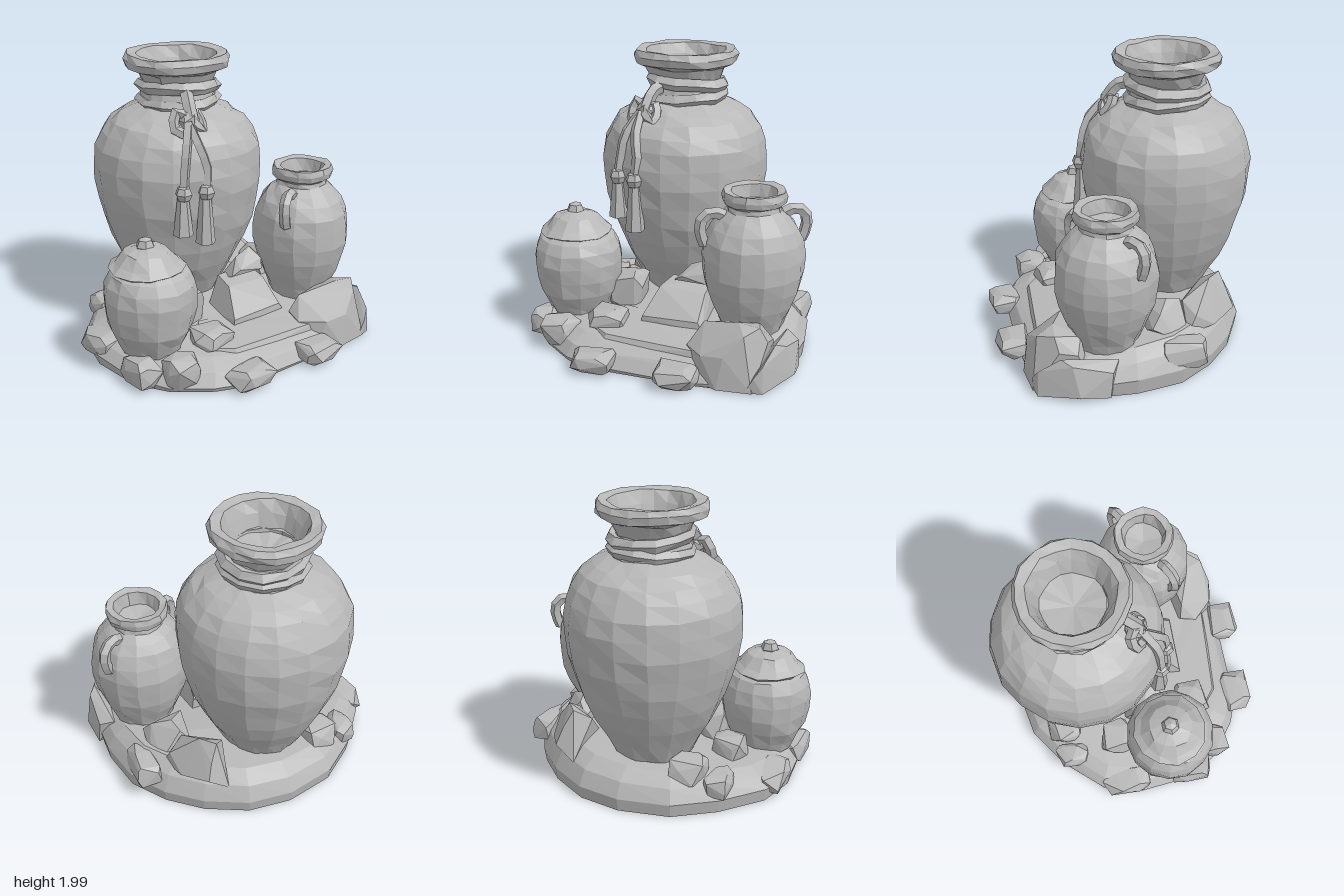
import * as THREE from 'three';
import { ConvexGeometry } from 'three/addons/geometries/ConvexGeometry.js';

const stone = new THREE.MeshStandardMaterial({ color: 0xb8b8b8 });
const V = (x, y, z) => new THREE.Vector3(x, y, z);

function seeded(seed) {
  let s = seed * 7919 + 17;
  return () => (s = (s * 16807) % 2147483647) / 2147483647;
}

// Faceted normals
function facet(geo) {
  const g = geo.index ? geo.toNonIndexed() : geo;
  g.computeVertexNormals();
  return g;
}

// Hand-cut unevenness, the same for coincident vertices
function roughen(geo, amount) {
  const p = geo.attributes.position;
  for (let i = 0; i < p.count; i++) {
    const x = p.getX(i), y = p.getY(i), z = p.getZ(i);
    p.setXYZ(i, x + amount * Math.sin(31 * z + 47 * y), y + amount * Math.sin(29 * x + 37 * z),
      z + amount * Math.sin(41 * x + 23 * y));
  }
  return geo;
}

function add(parent, name, geo, x = 0, y = 0, z = 0) {
  const m = new THREE.Mesh(geo, stone);
  m.name = name;
  m.position.set(x, y, z);
  parent.add(m);
  return m;
}

// Turned pot from [radius, height] pairs
function pot(parent, name, profile, sides, x, z, rough = 0.007) {
  const geo = new THREE.LatheGeometry(profile.map(([r, y]) => new THREE.Vector2(r, y)), sides);
  return add(parent, name, facet(roughen(geo, rough)), x, 0, z);
}

// Convex boulder that exactly fills the box between two corners
function rock(parent, name, lo, hi, seed) {
  const rnd = seeded(seed), pts = [];
  for (let i = 0; i < 20; i++) {
    const y = 1 - (2 * (i + 0.5)) / 20, a = i * 2.4 + rnd() * 0.9, r = Math.sqrt(1 - y * y);
    const soft = (v) => Math.sign(v) * Math.abs(v) ** 0.6;
    pts.push(V(soft(r * Math.cos(a)), soft(y), soft(r * Math.sin(a))).multiplyScalar(0.9 + 0.2 * rnd()));
  }
  const box = new THREE.Box3().setFromPoints(pts), size = box.getSize(V(0, 0, 0));
  pts.forEach((p) => {
    p.sub(box.min).divide(size);
    p.set(lo[0] + p.x * (hi[0] - lo[0]), lo[1] + p.y * (hi[1] - lo[1]), lo[2] + p.z * (hi[2] - lo[2]));
  });
  add(parent, name, new ConvexGeometry(pts));
}

const hull = (parent, name, pts) => add(parent, name, new ConvexGeometry(pts.map((p) => V(...p))));

function tube(parent, name, pts, radius, steps, sides) {
  const curve = new THREE.CatmullRomCurve3(pts.map((p) => V(...p)));
  return add(parent, name, facet(new THREE.TubeGeometry(curve, steps, radius, sides)));
}

export function createModel() {
  const model = new THREE.Group();

  // Ground slab: outline [x, z, edge height, top height]
  const outline = [
    [-0.62, -0.62, 0.1, 0.24], [-0.86, -0.36, 0.1, 0.22], [-0.94, -0.08, 0.08, 0.2], [-0.91, 0.3, 0.06, 0.18],
    [-0.78, 0.52, 0.04, 0.18], [-0.55, 0.7, 0.04, 0.18], [-0.38, 0.77, 0.04, 0.17], [0.3, 0.78, 0.03, 0.16],
    [0.77, 0.75, 0.06, 0.2], [0.92, 0.5, 0.1, 0.24], [0.96, 0.12, 0.12, 0.28], [0.92, -0.2, 0.12, 0.3],
    [0.77, -0.45, 0.1, 0.3], [0.57, -0.65, 0.1, 0.29], [0.3, -0.81, 0.1, 0.28], [0, -0.86, 0.1, 0.27],
    [-0.35, -0.8, 0.1, 0.25],
  ];
  const slab = [];
  outline.forEach(([x, z, edge, top]) => {
    const back = z > 0.5 ? 0.8 : 0.82;
    slab.push([x * 0.985, 0.01, z * 0.985], [x, edge, z], [x * 0.94, edge + (top - edge) * 0.6, z * 0.94],
      [x * 0.85, top, z * back]);
  });
  slab.push([0, 0.3, -0.3], [0.4, 0.31, -0.2]);
  hull(model, 'groundSlab', slab);

  // Ledges across the front
  hull(model, 'upperLedge', [[-0.5, 0.1, 0.5], [-0.45, 0.2, 0.48], [-0.3, 0.2, 0.6], [0.36, 0.2, 0.66], [0.4, 0.1, 0.69],
    [-0.3, 0.12, 0.64], [0.4, 0.22, 0.3], [-0.3, 0.24, 0.2]]);
  hull(model, 'lowerLedge', [[-0.35, 0.03, 0.75], [-0.25, 0.14, 0.67], [0.3, 0.13, 0.72], [0.36, 0.03, 0.79],
    [0.36, 0.16, 0.6], [-0.3, 0.17, 0.55]]);

  // Sloping block leaning on the large jar
  hull(model, 'leaningBlock', [[-0.13, 0.2, 0.38], [0.32, 0.2, 0.4], [-0.12, 0.26, 0.38], [0.28, 0.27, 0.39],
    [-0.04, 0.43, 0.22], [0.28, 0.41, 0.22], [-0.1, 0.2, 0.05], [0.32, 0.2, 0.05], [0, 0.45, 0.05], [0.29, 0.45, 0.05]]);
  hull(model, 'blockCap', [[0.04, 0.46, 0.16], [0.1, 0.5, 0.18], [0.28, 0.47, 0.2], [0.3, 0.54, 0.17], [0.14, 0.56, 0.08],
    [0.26, 0.61, 0.08], [0.31, 0.58, 0.04], [0.06, 0.4, 0], [0.32, 0.4, 0]]);

  // Large rocks under the handled jar
  hull(model, 'frontRock', [[0.36, 0.02, 0.72], [0.27, 0.21, 0.6], [0.29, 0.24, 0.48], [0.36, 0.35, 0.5],
    [0.4, 0.22, 0.74], [0.62, 0.42, 0.6], [0.68, 0.38, 0.72], [0.56, 0.24, 0.77], [0.52, 0.02, 0.79], [0.75, 0.02, 0.77],
    [0.76, 0.41, 0.62], [0.81, 0.31, 0.6], [0.82, 0.28, 0.48], [0.72, 0.36, 0.44], [0.4, 0.1, 0.42], [0.8, 0.1, 0.4]]);
  hull(model, 'sideRock', [[0.7, 0.02, 0.77], [0.76, 0.13, 0.77], [0.81, 0.2, 0.74], [0.86, 0.3, 0.6], [0.92, 0.27, 0.54],
    [0.97, 0.06, 0.5], [0.96, 0.02, 0.3], [0.95, 0.2, 0.28], [0.86, 0.24, 0.22], [0.7, 0.1, 0.3], [0.82, 0.02, 0.75]]);
  // Long rocks tucked behind the large jar
  hull(model, 'rearRock', [[0.4, 0.2, -0.7], [0.54, 0.3, -0.68], [0.5, 0.42, -0.64], [0.44, 0.54, -0.6], [0.52, 0.54, -0.5],
    [0.56, 0.42, -0.3], [0.68, 0.36, -0.36], [0.7, 0.24, -0.3], [0.66, 0.26, -0.5], [0.35, 0.45, -0.5], [0.4, 0.2, -0.25]]);
  hull(model, 'rearSlab', [[0.5, 0.36, -0.32], [0.56, 0.44, -0.28], [0.58, 0.47, -0.18], [0.7, 0.42, -0.1], [0.74, 0.34, -0.04],
    [0.76, 0.25, -0.2], [0.5, 0.2, -0.3], [0.45, 0.4, -0.05], [0.5, 0.2, 0], [0.72, 0.24, -0.3]]);

  // Boulders around the rim
  [
    [[-0.8, 0.02, 0.4], [-0.54, 0.24, 0.62]], [[-0.95, 0.01, 0.16], [-0.76, 0.21, 0.46]],
    [[-0.48, 0.01, 0.66], [-0.18, 0.17, 0.89]], [[0.12, 0.01, 0.7], [0.4, 0.16, 0.93]],
    [[-0.5, 0.15, 0.27], [-0.22, 0.31, 0.54]], [[-0.46, 0.15, -0.1], [-0.2, 0.46, 0.2]],
    [[0.74, 0.1, -0.4], [0.92, 0.29, -0.08]], [[-0.95, 0.02, -0.36], [-0.72, 0.21, 0]],
    [[-0.68, 0.1, -0.66], [-0.5, 0.27, -0.42]], [[-0.66, 0.15, -0.32], [-0.42, 0.36, -0.08]],
    [[-0.5, 0.14, -0.68], [-0.25, 0.35, -0.44]],
  ].forEach(([lo, hi], i) => rock(model, 'boulder' + (i + 1), lo, hi, i + 3));

  // Large jar with flared rim and hollow mouth
  pot(model, 'largeJar', [[0, 0.2], [0.25, 0.22], [0.34, 0.4], [0.42, 0.54], [0.485, 0.69], [0.53, 0.83], [0.565, 0.97],
    [0.585, 1.11], [0.588, 1.24], [0.57, 1.36], [0.53, 1.45], [0.47, 1.53], [0.39, 1.585], [0.27, 1.64], [0.235, 1.78],
    [0.28, 1.87], [0.355, 1.9], [0.366, 1.95], [0.345, 1.99], [0.28, 1.98], [0.245, 1.9], [0.21, 1.78], [0, 1.74]],
    18, -0.04, -0.35);

  // Rope wound twice around the neck
  [[1.67, 0.05], [1.76, -0.06]].forEach(([y, tilt], i) => {
    const geo = roughen(new THREE.TorusGeometry(0.255, 0.045, 5, 12), 0.007);
    const ring = add(model, 'neckRope' + (i + 1), facet(geo), -0.03, y, -0.35);
    ring.rotation.set(Math.PI / 2 + tilt, tilt, 0);
  });

  // Bow and knot
  const knot = new THREE.Group();
  knot.name = 'ropeKnot';
  model.add(knot);
  add(knot, 'knotCore', facet(new THREE.IcosahedronGeometry(0.075)), -0.21, 1.61, 0);
  tube(knot, 'knotStrap', [[-0.15, 1.75, -0.1], [-0.18, 1.73, -0.05], [-0.21, 1.62, 0.03]], 0.045, 4, 5);
  tube(knot, 'bowLoopRight', [[-0.2, 1.61, 0.02], [-0.28, 1.67, -0.04], [-0.32, 1.56, -0.01], [-0.26, 1.53, 0.05],
    [-0.2, 1.6, 0.03]], 0.038, 7, 5);
  tube(knot, 'bowLoopLeft', [[-0.21, 1.61, 0.02], [-0.16, 1.66, -0.01], [-0.13, 1.59, 0.02], [-0.15, 1.54, 0.06],
    [-0.21, 1.6, 0.04]], 0.038, 7, 5);

  // Cords ending in tassels
  [[-0.37, 0.88, 0.15], [-0.23, 0.81, 0.21]].forEach(([x, low, z], i) => {
    const tassel = new THREE.Group();
    tassel.name = 'tassel' + (i + 1);
    model.add(tassel);
    tube(tassel, 'cord', [[-0.24, 1.6, 0.04], [x * 0.6 - 0.1, 1.46, z * 0.5 + 0.05], [x + 0.02, 1.32, z - 0.01],
      [x, 1.17, z]], 0.034, 6, 4);
    add(tassel, 'bead', facet(new THREE.SphereGeometry(0.06, 6, 4)), x, 1.17, z);
    const h = 1.14 - low;
    add(tassel, 'fringe', facet(new THREE.CylinderGeometry(0.038, 0.068, h, 6)), x, low + h / 2, z - 0.01);
  });

  // Two-handled jar
  const jx = 0.613, jz = 0.24;
  pot(model, 'handledJar', [[0, 0.22], [0.2, 0.23], [0.23, 0.32], [0.28, 0.43], [0.318, 0.54], [0.338, 0.65], [0.342, 0.76],
    [0.325, 0.87], [0.285, 0.96], [0.235, 1.02], [0.18, 1.07], [0.175, 1.1], [0.205, 1.12], [0.215, 1.16], [0.205, 1.2],
    [0.155, 1.19], [0.135, 1.1], [0, 1.07]], 14, jx, jz, 0.005);
  [1, -1].forEach((side) => {
    const path = [[0.2, 1.03], [0.28, 1.06], [0.345, 1.02], [0.36, 0.94], [0.325, 0.84]];
    tube(model, side > 0 ? 'leftHandle' : 'rightHandle',
      path.map(([r, y]) => [jx + side * 0.88 * r, y, jz - side * 0.46 * r]), 0.04, 6, 5);
  });

  // Lidded jar
  pot(model, 'liddedJar', [[0, 0.16], [0.2, 0.17], [0.23, 0.24], [0.28, 0.34], [0.303, 0.45], [0.312, 0.56], [0.298, 0.65],
    [0.262, 0.72], [0.2, 0.76], [0, 0.76]], 14, -0.67, 0.17, 0.005);
  pot(model, 'lid', [[0, 0.72], [0.22, 0.73], [0.255, 0.755], [0.21, 0.79], [0.15, 0.86], [0.06, 0.89], [0, 0.89]],
    12, -0.685, 0.16, 0.005);
  add(model, 'lidKnob', facet(new THREE.SphereGeometry(0.064, 6, 4)), -0.69, 0.89, 0.155);

  return model;
}
